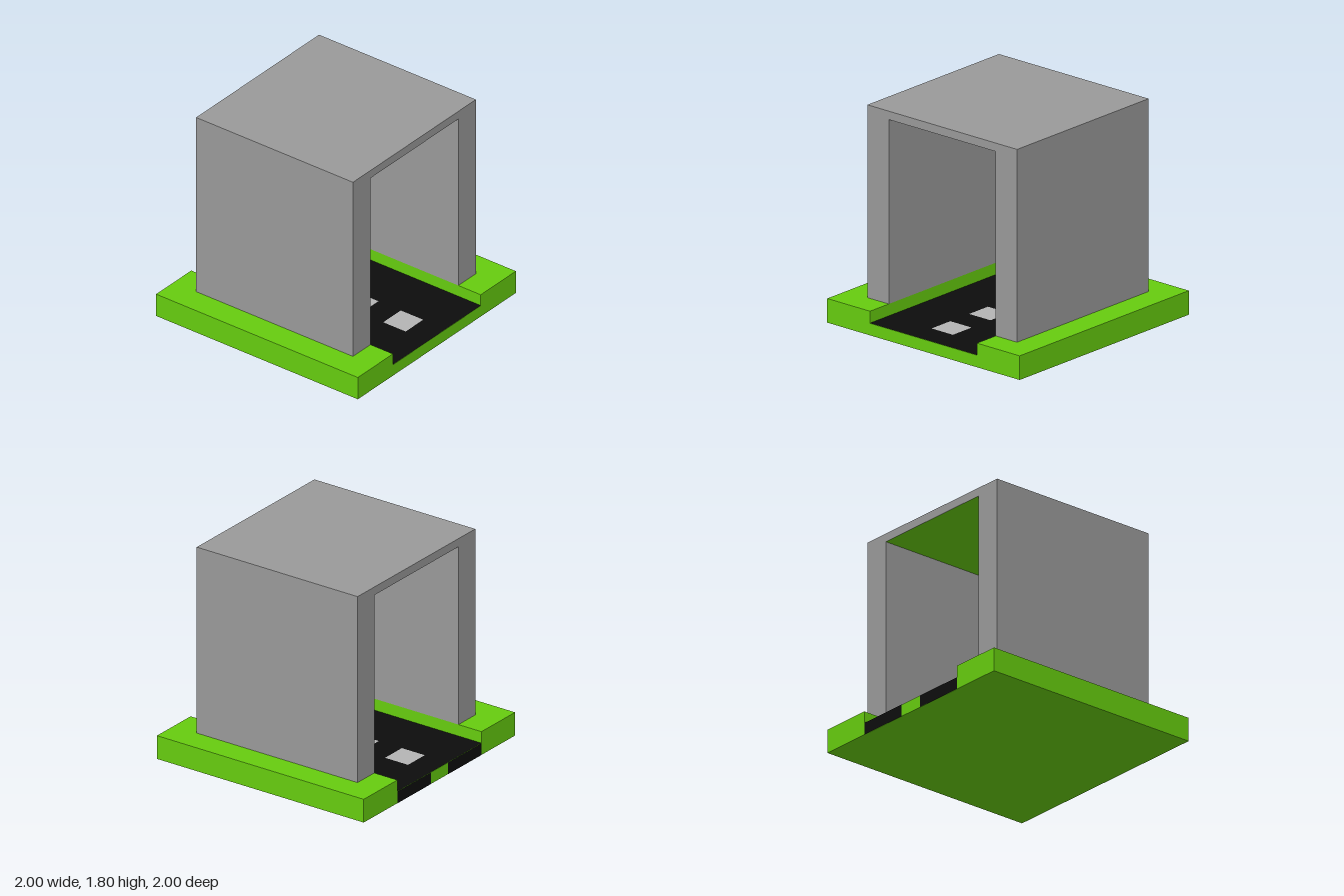
import * as THREE from 'three';

const U = 2 / 9;                 // modular unit
const ROAD_HALF = 2.5 * U;       // half width of the road cutting
const WALL_HALF = 3.5 * U;       // half outer width and depth of the tunnel
const GAP = 0.0015;              // lifts thin surfaces clear of what they lie on

const mat = (color) => new THREE.MeshStandardMaterial({ color, roughness: 1 });

export function createModel() {
  const model = new THREE.Group();
  const green = mat(0x66cc0f);
  const concrete = mat(0x999999);
  const asphalt = mat(0x0d0d0d);
  const paint = mat(0xb4b4b4);

  const add = (name, geometry, material) => {
    const mesh = new THREE.Mesh(geometry, material);
    mesh.name = name;
    model.add(mesh);
    return mesh;
  };

  // Extrudes an x-y outline symmetrically along z
  const prism = (points, depth) => {
    const shape = new THREE.Shape(points.map(([x, y]) => new THREE.Vector2(x, y)));
    return new THREE.ExtrudeGeometry(shape, { depth, bevelEnabled: false })
      .translate(0, 0, -depth / 2);
  };

  // Flat horizontal panel facing up
  const panel = (width, depth) => new THREE.PlaneGeometry(width, depth).rotateX(-Math.PI / 2);

  // Grass base with a sunken channel for the road
  add('grassBase', prism([
    [-1, 0], [1, 0], [1, 0.2], [ROAD_HALF, 0.2], [ROAD_HALF, 0.1],
    [-ROAD_HALF, 0.1], [-ROAD_HALF, 0.2], [-1, 0.2],
  ], 2), green);

  // Tunnel: two thick walls and a thin roof
  add('tunnelShell', prism([
    [-WALL_HALF, 0.2], [-ROAD_HALF, 0.2], [-ROAD_HALF, 1.73], [ROAD_HALF, 1.73],
    [ROAD_HALF, 0.2], [WALL_HALF, 0.2], [WALL_HALF, 1.8], [-WALL_HALF, 1.8],
  ], 2 * WALL_HALF), concrete);

  // Green ceiling lining, facing down
  const ceiling = add('ceilingLining', panel(2 * ROAD_HALF, 2 * WALL_HALF), green);
  ceiling.rotation.x = Math.PI;
  ceiling.position.y = 1.73 - GAP;

  // Road surface
  add('roadSurface', panel(2 * ROAD_HALF, 2), asphalt).position.y = 0.1 + GAP;

  // Centre line dashes
  for (const step of [-3, -1, 1, 3]) {
    add('roadDash', panel(U, U), paint).position.set(0, 0.1 + 2 * GAP, step * U);
  }

  // Dark road ends on the back edge, either side of a green centre strip
  for (const side of [-1, 1]) {
    const end = add('roadBackEnd', new THREE.PlaneGeometry(2 * U, 0.1), asphalt);
    end.rotation.y = Math.PI;
    end.position.set(side * 1.5 * U, 0.05, -1 - GAP);
  }

  return model;
}
